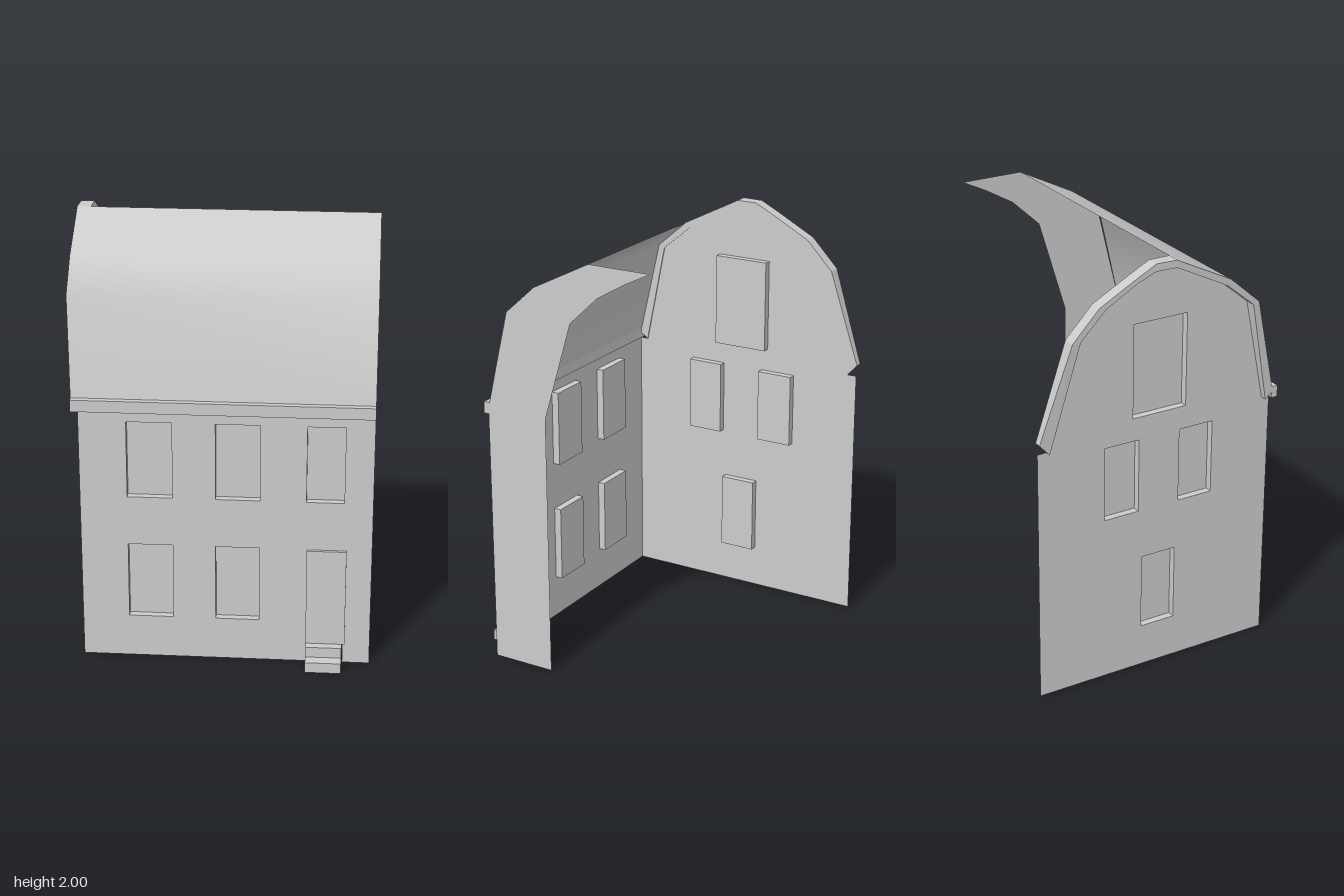
import * as THREE from 'three';

const mat = new THREE.MeshStandardMaterial({ color: 0xcccccc, side: THREE.DoubleSide });
const DEPTH = 0.035;

function part(name, geometry, parent) {
  const mesh = new THREE.Mesh(geometry, mat);
  mesh.name = name;
  parent.add(mesh);
  return mesh;
}

const vectors = (pts) => pts.map(([x, y]) => new THREE.Vector2(x, y));
const rect = ([x0, x1, y0, y1]) => [[x0, y0], [x1, y0], [x1, y1], [x0, y1]];

// Thin wall in the local xy plane, with openings cut out
function wall(name, outline, openings, parent) {
  const shape = new THREE.Shape(vectors(outline));
  for (const o of openings) shape.holes.push(new THREE.Path(vectors(rect(o))));
  return part(name, new THREE.ShapeGeometry(shape), parent);
}

// Recessed window: a box without its front face, set behind the wall
function windowRecess([x0, x1, y0, y1], parent) {
  const g = new THREE.BoxGeometry(x1 - x0, y1 - y0, DEPTH);
  const index = Array.from(g.index.array);
  index.splice(24, 6);
  g.setIndex(index);
  g.clearGroups();
  g.translate((x0 + x1) / 2, (y0 + y1) / 2, -DEPTH / 2);
  part('window', g, parent);
}

// Sheet or band joining successive cross-sections, each a list of [x, y, z]
function loft(sections, closed) {
  const n = sections[0].length, index = [];
  for (let i = 0; i < sections.length - 1; i++) {
    for (let j = 0; j < (closed ? n : n - 1); j++) {
      const a = i * n + j, b = i * n + (j + 1) % n;
      index.push(a, b, a + n, b, b + n, a + n);
    }
  }
  if (closed) {
    const e = (sections.length - 1) * n;
    index.push(0, 2, 1, 0, 3, 2, e, e + 1, e + 2, e, e + 2, e + 3);
  }
  let g = new THREE.BufferGeometry();
  g.setAttribute('position', new THREE.Float32BufferAttribute(sections.flat(2), 3));
  g.setIndex(index);
  if (closed) g = g.toNonIndexed();
  g.computeVertexNormals();
  return g;
}

export function createModel() {
  const model = new THREE.Group();
  model.name = 'halfHouse';
  const LEFT = -0.635, RIGHT = 0.69, FRONT = 0.55;

  // Gable roof line from front eave to back eave: [z, y, flared end x]
  const outer = [
    [0.55, 1.25, -0.665], [0.44, 1.72, -0.687], [0.285, 1.855, -0.69],
    [0, 2, -0.695], [-0.1, 2, -0.69], [-0.2, 1.95, -0.69],
    [-0.38, 1.855, -0.69], [-0.51, 1.72, -0.69], [-0.66, 1.275, -0.665],
  ];
  const inner = [
    [0.51, 1.22], [0.41, 1.71], [0.265, 1.83], [0, 1.965], [-0.1, 1.965],
    [-0.19, 1.93], [-0.345, 1.845], [-0.47, 1.72], [-0.61, 1.22],
  ];

  // Front wall with doorway and windows
  const front = new THREE.Group();
  front.name = 'front';
  front.position.z = FRONT;
  model.add(front);
  const windows = [];
  for (const [x0, x1] of [[-0.42, -0.215], [-0.02, 0.18], [0.39, 0.56]]) {
    windows.push([x0, x1, 0.805, 1.17]);
    if (x0 < 0.3) windows.push([x0, x1, 0.205, 0.57]);
  }
  const facade = [
    [LEFT, 0], [0.397, 0], [0.397, 0.565], [0.565, 0.565], [0.565, 0],
    [RIGHT, 0], [RIGHT, 1.25], [LEFT, 1.25],
  ];
  wall('frontWall', facade, windows, front);
  windows.forEach((w) => windowRecess(w, front));

  // Door, slightly proud of the wall
  const door = part('door', new THREE.BoxGeometry(0.18, 0.47, 0.015), front);
  door.position.set(0.485, 0.335, 0.0075);

  // Two door steps
  const stepShape = new THREE.Shape(vectors([
    [0, 0], [0.11, 0], [0.11, 0.05], [0.055, 0.05], [0.055, 0.1], [0, 0.1],
  ]));
  const steps = part('doorSteps',
    new THREE.ExtrudeGeometry(stepShape, { depth: 0.165, bevelEnabled: false }), front);
  steps.rotation.y = -Math.PI / 2;
  steps.position.x = 0.562;

  // Cornice along the front eave
  const cornice = part('cornice', new THREE.BoxGeometry(1.355, 0.055, 0.03), front);
  cornice.position.set(0.0125, 1.248, 0.01);

  // Full-depth gable on the -x side; local x runs along z
  const gable = new THREE.Group();
  gable.name = 'gable';
  gable.position.x = LEFT;
  gable.rotation.y = -Math.PI / 2;
  model.add(gable);
  const gableWindows = [
    [0.068, 0.243, 0.81, 1.165], [-0.32, -0.143, 0.81, 1.165],
    [-0.122, 0.053, 0.205, 0.57], [-0.175, 0.098, 1.275, 1.72],
  ];
  wall('gableWall', [[-0.655, 0], [FRONT, 0], [FRONT, 1.22], ...inner, [-0.655, 1.22]],
    gableWindows, gable);
  gableWindows.forEach((w) => windowRecess(w, gable));

  // Thin return wall on the +x side, sweeping back under the roof
  const returnWall = wall('returnWall', [
    [0.24, 0], [FRONT, 0], [0.55, 1.25], [0.435, 1.72], [0.285, 1.855], [0, 2],
    [-0.31, 2], [-0.19, 1.94], [-0.045, 1.855], [0.098, 1.72], [0.24, 1.25],
  ], [], model);
  returnWall.position.x = RIGHT;
  returnWall.rotation.y = -Math.PI / 2;

  // Front roof slope, smooth, flaring towards the gable
  part('roof', loft(outer.slice(0, 4).map(([z, y, x]) => [[x, y, z], [RIGHT, y, z]]), false), model);

  // Raised trim following the gable
  part('gableTrim', loft(outer.map(([z, y, x], i) => {
    const [zi, yi] = inner[i];
    return [[x, y, z], [-0.63, y, z], [-0.63, yi, zi], [x, yi, zi]];
  }), true), model);

  return model;
}
